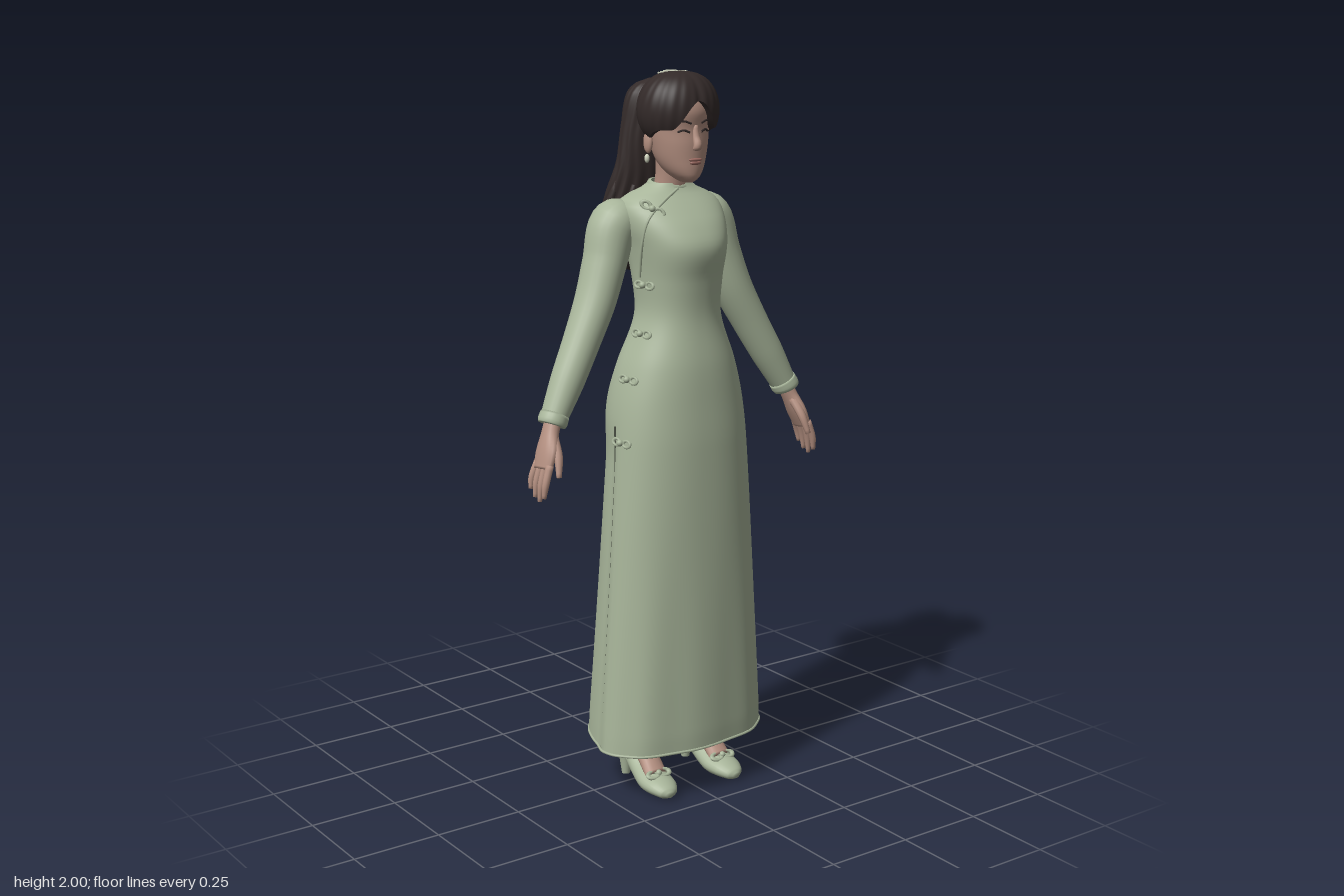
import * as THREE from 'three';

const mat = (name, color, side = THREE.FrontSide) => {
  const m = new THREE.MeshStandardMaterial({ color, side });
  m.name = name;
  return m;
};
const V = (x, y, z) => new THREE.Vector3(x, y, z);
const clamp = THREE.MathUtils.clamp, smooth = THREE.MathUtils.smoothstep;
const TAU = Math.PI * 2;

// Closed-around surface: fn(angle, t) gives a point, t runs along the part
function skin(name, nu, nv, fn, material) {
  const pos = [], idx = [];
  for (let j = 0; j <= nv; j++)
    for (let i = 0; i < nu; i++) pos.push(...fn((i / nu) * TAU, j / nv).toArray());
  for (let j = 0; j < nv; j++)
    for (let i = 0; i < nu; i++) {
      const k = (i + 1) % nu, a = j * nu + i, b = j * nu + k;
      idx.push(a, b, b + nu, a, b + nu, a + nu);
    }
  const g = new THREE.BufferGeometry();
  g.setAttribute('position', new THREE.Float32BufferAttribute(pos, 3));
  g.setIndex(idx);
  g.computeVertexNormals();
  const m = new THREE.Mesh(g, material);
  m.name = name;
  return m;
}

// Smooth lookup in rows sorted by their first column
function sample(rows, y) {
  let i = 0;
  while (i < rows.length - 2 && y > rows[i + 1][0]) i++;
  const a = rows[i], b = rows[i + 1], p = rows[i - 1] || a, q = rows[i + 2] || b;
  const h = b[0] - a[0], t = clamp((y - a[0]) / h, 0, 1);
  return a.map((_, c) => {
    const m0 = (b[c] - p[c]) / (b[0] - p[0]) * h, m1 = (q[c] - a[c]) / (q[0] - a[0]) * h;
    const t2 = t * t, t3 = t2 * t;
    return (2 * t3 - 3 * t2 + 1) * a[c] + (t3 - 2 * t2 + t) * m0 + (3 * t2 - 2 * t3) * b[c] + (t3 - t2) * m1;
  });
}

// Tapered closed limb; rows are [x, y, z, radius along ref, radius across]
function limb(name, rows, material, ref = V(0, 0, 1), nu = 16, nv = 20) {
  const path = new THREE.CatmullRomCurve3(rows.map(r => V(r[0], r[1], r[2])));
  const size = new THREE.CatmullRomCurve3(rows.map(r => V(r[3], r[4], 0)));
  return skin(name, nu, nv + 2, (a, t) => {
    const j = Math.round(t * (nv + 2)), s = clamp((j - 1) / nv, 0, 1);
    const k = j === 0 || j === nv + 2 ? 0.02 : 1;
    const T = path.getTangent(s), U = ref.clone().addScaledVector(T, -ref.dot(T)).normalize();
    const W = T.clone().cross(U), r = size.getPoint(s);
    return path.getPoint(s).addScaledVector(U, Math.cos(a) * r.x * k).addScaledVector(W, Math.sin(a) * r.y * k);
  }, material);
}

const tube = (name, pts, r, material) => {
  const m = new THREE.Mesh(new THREE.TubeGeometry(new THREE.CatmullRomCurve3(pts), pts.length * 4, r, 6), material);
  m.name = name;
  return m;
};
const ball = (name, p, s, material) => {
  const m = new THREE.Mesh(new THREE.SphereGeometry(1, 16, 12), material);
  m.name = name;
  m.position.set(...p);
  m.scale.set(...s);
  return m;
};

// Dress rows: height, half width, front z, back z, z of the side seam
const DRESS = [
  [0.14, 0.262, 0.205, -0.172, 0.06], [0.2, 0.259, 0.207, -0.17, 0.06], [0.6, 0.232, 0.203, -0.145, 0.06],
  [1.0, 0.204, 0.197, -0.12, 0.055], [1.12, 0.192, 0.19, -0.113, 0.045], [1.22, 0.168, 0.182, -0.078, 0.04],
  [1.35, 0.12, 0.163, -0.042, 0.045], [1.45, 0.122, 0.17, -0.05, 0.04], [1.54, 0.135, 0.185, -0.075, 0.03],
  [1.6, 0.15, 0.156, -0.085, 0.015], [1.645, 0.15, 0.115, -0.08, 0.005], [1.67, 0.128, 0.088, -0.068, 0.005],
  [1.69, 0.08, 0.068, -0.045, 0.012], [1.705, 0.06, 0.062, -0.03, 0.015],
];
function dressPoint(y, a) {
  const [, hx, zf, zb, zc] = sample(DRESS, y), c = Math.cos(a), s = Math.sin(a);
  const back = c < -0.02, low = 1 - smooth(y, 0.15, 0.9);
  let k = 1 + 0.018 * low * Math.cos(9 * a + 0.6) * Math.abs(c);
  if (back) k *= 1 - 0.035 * (1 - smooth(y, 0.95, 1.08));
  const z = Math.sign(c) * Math.abs(c) ** 0.88 * (back ? zc - zb : zf - zc) * k;
  const lift = back ? -0.025 * c * (1 - smooth(y, 0.14, 0.4)) : 0;
  return V(Math.sign(s) * Math.abs(s) ** 0.9 * hx * k, y + lift, zc + z);
}

const HEAD = [
  [1.71, 0.012, 0.118, 0.07], [1.72, 0.03, 0.13, 0.05], [1.74, 0.05, 0.135, 0.02], [1.77, 0.066, 0.136, -0.005],
  [1.81, 0.077, 0.137, -0.02], [1.85, 0.084, 0.135, -0.03], [1.9, 0.086, 0.142, -0.03],
  [1.95, 0.07, 0.122, -0.015], [1.975, 0.03, 0.09, 0.02],
];
const PONY = [
  [1.445, 0.02, -0.125, -0.15], [1.46, 0.07, -0.095, -0.18], [1.5, 0.108, -0.075, -0.198],
  [1.57, 0.125, -0.06, -0.203], [1.66, 0.115, -0.045, -0.175], [1.75, 0.098, -0.03, -0.14],
  [1.86, 0.086, -0.02, -0.13], [1.93, 0.074, -0.02, -0.12], [1.96, 0.05, -0.025, -0.105], [1.975, 0.01, -0.05, -0.07],
];
function rowPoint(rows, y, a, k = 1) {
  const [, hx, zf, zb] = sample(rows, y);
  return V(Math.sin(a) * hx * k, y, (zf + zb) / 2 + Math.cos(a) * (zf - zb) / 2 * k);
}

export function createModel() {
  const g = new THREE.Group();
  g.name = 'womanInLongDress';
  const green = mat('sage cloth', 0xa8b59a, THREE.DoubleSide), flesh = mat('skin', 0xb38f80);
  const hair = mat('dark hair', 0x332a29, THREE.DoubleSide), seam = mat('seam shadow', 0x4b5044);
  const lip = mat('lips', 0x98685f), pale = mat('pale ornament', 0xcfd3bd);
  const add = (...m) => g.add(...m);

  // Dress, collar and piping
  add(skin('dress', 96, 110, (a, t) => dressPoint(0.14 + t * 1.565, a), green));
  add(skin('collar', 40, 4, (a, t) => {
    const k = [1, 1.07, 1.05, 0.98, 0.85][Math.round(t * 4)];
    return V(Math.sin(a) * 0.062 * k, 1.685 + 0.022 * Math.min(1, t * 1.4) - 0.006 * Math.cos(a), 0.016 + Math.cos(a) * 0.049 * k);
  }, green));
  const onDress = list => list.map(([y, a]) => dressPoint(y, a));
  add(tube('chestPiping', onDress([[1.69, -0.1], [1.66, -0.5], [1.62, -0.9], [1.56, -1.25], [1.46, -1.5]]), 0.004, green));
  for (const s of [-1, 1]) {
    const line = [];
    for (let y = 0.16; y < 1.08; y += 0.06) line.push([y, s * 1.6]);
    add(tube('sideSlit', onDress(line), 0.004, seam));
  }
  const hem = [];
  for (let i = 0; i <= 48; i++) hem.push(dressPoint(0.143, i / 48 * TAU));
  add(tube('hem', hem, 0.004, green));

  // Knotted cloth fastenings down the right side
  for (const [y, a, turn] of [[1.645, -0.75, -0.5], [1.44, -1.4, 0], [1.31, -1.4, 0], [1.19, -1.4, 0], [1.02, -1.45, 0]]) {
    const knot = new THREE.Group(), p = dressPoint(y, a);
    knot.name = 'clothFastening';
    for (const x of [-0.02, 0.02]) {
      const loop = new THREE.Mesh(new THREE.TorusGeometry(0.009, 0.004, 6, 14), green);
      loop.scale.x = 1.5;
      loop.position.x = x;
      knot.add(loop);
    }
    knot.add(ball('knot', [0, 0, 0.006], [0.009, 0.009, 0.009], green));
    knot.position.copy(p);
    knot.lookAt(p.clone().add(V(Math.sin(a), 0.2, Math.cos(a))));
    knot.rotateZ(turn);
    add(knot);
  }

  // Neck, head and face
  add(limb('neck', [[0, 1.66, 0.015, 0.045, 0.048], [0, 1.72, 0.025, 0.044, 0.044], [0, 1.8, 0.035, 0.048, 0.05]], flesh));
  add(skin('head', 40, 36, (a, t) => rowPoint(HEAD, 1.71 + t * 0.265, a), flesh));
  add(limb('nose', [[0, 1.86, 0.13, 0.008, 0.008], [0, 1.83, 0.137, 0.009, 0.01], [0, 1.808, 0.144, 0.012, 0.012],
    [0, 1.798, 0.138, 0.006, 0.012]], flesh, V(0, 0, 1), 12, 10));
  add(ball('upperLip', [0, 1.771, 0.134], [0.022, 0.005, 0.007], lip), ball('lowerLip', [0, 1.763, 0.134], [0.018, 0.006, 0.007], lip));
  for (const s of [-1, 1]) {
    const onFace = (y, list, out) => list.map(([a, d]) => rowPoint(HEAD, y + d, s * a, 1 + out));
    add(tube('eyelid', onFace(1.846, [[0.22, -0.003], [0.42, 0.003], [0.62, -0.002]], 0.005), 0.0032, hair));
    add(tube('eyebrow', onFace(1.866, [[0.18, 0], [0.45, 0.007], [0.72, 0]], 0.003), 0.003, hair));
    add(ball('ear', [s * 0.083, 1.815, 0.035], [0.01, 0.03, 0.017], flesh));
    add(ball('earring', [s * 0.088, 1.772, 0.037], [0.007, 0.012, 0.007], pale));
  }

  // Swept hair with a centre parting, the edge tucked in to the head
  add(skin('hairCap', 120, 26, (a, t) => {
    const d = Math.min(a, TAU - a);
    const low = d < 1 ? 1.925 - 0.075 * smooth(d, 0, 0.75) : 1.85 - 0.04 * smooth(d, 1, 2.2);
    const end = Math.acos(clamp((low - 1.898) / 0.1, -0.9, 1));
    const th = t < 0.08 ? end : end * (1 - (t - 0.08) / 0.92);
    const part = 1 - 0.05 * Math.exp(-((d / 0.1) ** 2));
    const k = Math.sin(th) ** 0.75 * (1 + 0.008 * Math.sin(a * 22 + th * 3)) * part * (t < 0.03 ? 0.83 : 1);
    return V(Math.sin(a) * 0.114 * k, 1.898 + 0.1 * Math.cos(th), 0.055 + Math.cos(a) * 0.101 * k);
  }, hair));
  add(skin('ponytail', 96, 44, (a, t) => {
    const y = 1.445 + t * 0.53, f = 1 - smooth(y, 1.5, 1.9);
    return rowPoint(PONY, y, a, 1 + (0.012 + 0.03 * f) * Math.sin(a * 17 + Math.sin(y * 25) * 1.5));
  }, hair));
  // Loose curled ends around the ponytail
  for (let i = 0; i < 18; i++) {
    const a = (i / 18) * TAU, y = 1.56 + 0.05 * Math.sin(i * 2.4), d = 0.03 * Math.sin(i * 4.1);
    const p = [[y + 0.1, 0.93], [y + 0.03, 0.98], [y - 0.04, 1.0], [1.475 + d * 0.6, 1.02]].map(([h, k]) => rowPoint(PONY, h, a, k));
    add(limb('curledLock', p.map((v, j) => [v.x, v.y, v.z, [0.008, 0.014, 0.013, 0.003][j], [0.008, 0.014, 0.013, 0.003][j]]),
      hair, V(0, 0, 1), 8, 8));
  }
  // Comb ornament on the crown
  for (let i = 0; i < 7; i++) {
    const tooth = new THREE.Mesh(new THREE.BoxGeometry(0.005, 0.005, 0.04), pale);
    tooth.name = 'combTooth';
    tooth.position.set(-0.036 + i * 0.009, 1.997 - 0.00001 * (i - 4) ** 2 * 30, 0.035);
    add(tooth);
  }
  add(ball('combBead', [0.034, 1.992, 0.03], [0.013, 0.006, 0.02], pale));

  for (const s of [-1, 1]) {
    const side = rows => rows.map(([x, ...r]) => [x * s, ...r]);
    // Sleeve and cuff
    add(limb('sleeve', side([[0.11, 1.615, -0.02, 0.06, 0.05], [0.155, 1.595, -0.022, 0.068, 0.066], [0.19, 1.5, -0.015, 0.064, 0.059],
      [0.228, 1.4, -0.005, 0.06, 0.055], [0.28, 1.3, 0.008, 0.053, 0.05], [0.336, 1.2, 0.022, 0.047, 0.046],
      [0.392, 1.1, 0.035, 0.038, 0.035]]), green, V(0, 0, 1), 24, 36));
    add(limb('cuff', side([[0.384, 1.115, 0.033, 0.041, 0.039], [0.393, 1.099, 0.036, 0.042, 0.04], [0.397, 1.09, 0.037, 0.039, 0.037]]),
      green, V(0, 0, 1), 24, 6));
    // Hand
    add(limb('palm', side([[0.388, 1.11, 0.034, 0.024, 0.022], [0.405, 1.07, 0.042, 0.028, 0.021], [0.425, 1.02, 0.053, 0.042, 0.019],
      [0.44, 0.98, 0.058, 0.038, 0.014]]), flesh));
    for (let i = 0; i < 4; i++) {
      const k = i - 1.5, z = 0.058 + k * 0.02, len = [0.062, 0.08, 0.088, 0.075][i];
      add(limb('finger', side([[0.436, 0.995, z, 0.011, 0.011], [0.452, 0.985 - len * 0.5, z + k * 0.003, 0.01, 0.01],
        [0.457, 0.985 - len, z + k * 0.002, 0.006, 0.006]]), flesh, V(0, 0, 1), 10, 8));
    }
    add(limb('thumb', side([[0.405, 1.06, 0.058, 0.014, 0.014], [0.412, 1.015, 0.092, 0.012, 0.012], [0.422, 0.965, 0.11, 0.007, 0.007]]),
      flesh, V(1, 0, 0), 10, 10));
    // Leg and foot
    add(limb('leg', side([[0.09, 0.8, 0.02, 0.07, 0.07], [0.1, 0.4, 0.0, 0.052, 0.05], [0.105, 0.22, 0.005, 0.042, 0.038],
      [0.108, 0.13, 0.01, 0.042, 0.032], [0.108, 0.08, 0.01, 0.04, 0.03]]), flesh));
    add(limb('instep', side([[0.107, 0.13, 0.0, 0.028, 0.03], [0.109, 0.098, 0.055, 0.03, 0.026], [0.112, 0.052, 0.11, 0.034, 0.018]]),
      flesh, V(1, 0, 0)));
    // Heeled shoe with a bow
    add(limb('shoe', side([[0.105, 0.1, -0.072, 0.016, 0.025], [0.106, 0.096, -0.045, 0.033, 0.031], [0.107, 0.079, 0, 0.036, 0.03],
      [0.109, 0.05, 0.05, 0.042, 0.032], [0.112, 0.032, 0.1, 0.049, 0.031], [0.114, 0.026, 0.145, 0.044, 0.025],
      [0.116, 0.019, 0.175, 0.028, 0.017], [0.117, 0.016, 0.186, 0.01, 0.008]]), green, V(1, 0, 0), 24, 28));
    const heel = new THREE.Mesh(new THREE.CylinderGeometry(0.024, 0.012, 0.08, 14), green);
    heel.name = 'heel';
    heel.position.set(s * 0.106, 0.04, -0.05);
    add(heel);
    for (const d of [-1, 1]) {
      const loop = new THREE.Mesh(new THREE.TorusGeometry(0.011, 0.005, 8, 14), green);
      loop.name = 'bowLoop';
      loop.scale.x = 1.5;
      loop.position.set(s * 0.112 + d * 0.019, 0.058, 0.122);
      loop.rotation.x = -1;
      add(loop);
    }
    add(ball('bowKnot', [s * 0.112, 0.061, 0.122], [0.009, 0.009, 0.009], green));
  }
  return g;
}
